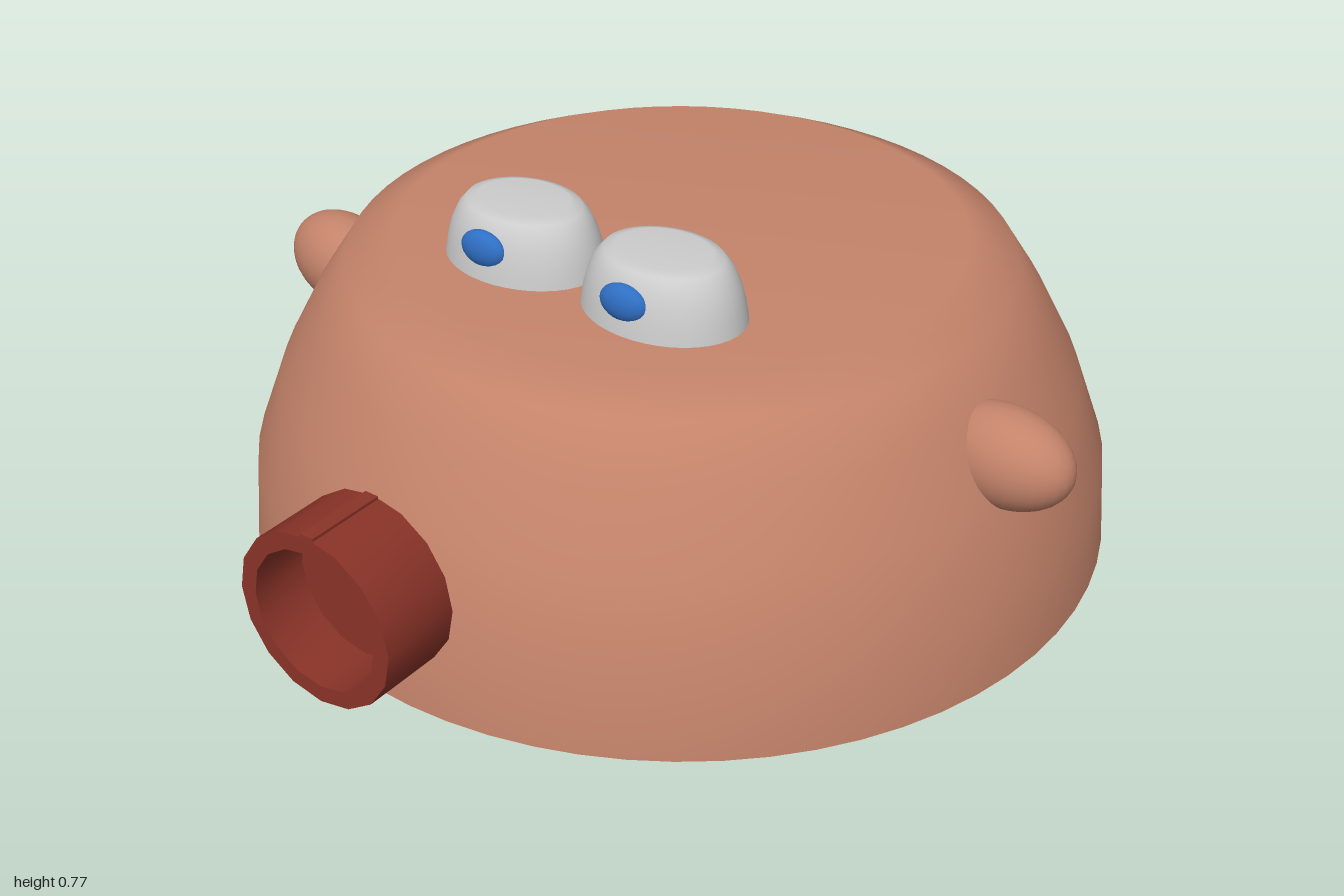
import * as THREE from 'three';
import { toCreasedNormals } from 'three/addons/utils/BufferGeometryUtils.js';

const paint = (color) => new THREE.MeshStandardMaterial({ color });
const points = (list) => list.map(([x, y]) => new THREE.Vector2(x, y));

export function createModel() {
  const model = new THREE.Group();
  const skin = paint(0xc4836a);
  const white = paint(0xcccccc);
  const blue = paint(0x2f6fc4);
  const red = paint(0x8a3328);

  const add = (name, geometry, material, position, parent = model) => {
    const mesh = new THREE.Mesh(geometry, material);
    mesh.name = name;
    mesh.position.set(...position);
    parent.add(mesh);
    return mesh;
  };

  // Domed body with a flat top, and its flat underside
  const dome = points([
    [0.905, 0], [0.89, 0.18], [0.828, 0.35], [0.755, 0.49],
    [0.685, 0.598], [0.585, 0.645], [0, 0.645],
  ]);
  add('body', new THREE.LatheGeometry(dome, 64), skin, [-0.013, 0, -0.093]);
  const base = new THREE.CircleGeometry(0.905, 64).rotateX(Math.PI / 2);
  add('underside', base, skin, [-0.013, 0, -0.093]);

  // Rounded ears, partly sunk into the body
  for (const [name, x, y, z, yaw] of [
    ['rightEar', -0.787, 0.408, 0.08, -0.25],
    ['leftEar', 0.78, 0.42, -0.012, -0.08],
  ]) {
    const ear = add(name, new THREE.SphereGeometry(1, 32, 20), skin, [x, y, z]);
    ear.scale.set(0.15, 0.102, 0.092);
    ear.rotation.y = yaw;
  }

  // Flat-topped oval eyes, each with a pupil
  const eyeProfile = points([
    [0.174, 0], [0.168, 0.035], [0.158, 0.07], [0.143, 0.1],
    [0.125, 0.12], [0.1, 0.127], [0, 0.127],
  ]);
  for (const [side, x, z, tilt] of [['right', -0.188, 0.195, 0.04], ['left', 0.16, 0.217, 0.06]]) {
    const eye = new THREE.Group();
    eye.name = side + 'Eye';
    eye.position.set(x, 0.645, z);
    model.add(eye);
    const ball = add(side + 'Eyeball', new THREE.LatheGeometry(eyeProfile, 40), white, [0, 0, 0], eye);
    ball.scale.z = 0.78;
    ball.rotation.y = -tilt;
    const pupil = add(side + 'Pupil', new THREE.SphereGeometry(1, 24, 16), blue, [-0.01, 0.062, 0.117], eye);
    pupil.scale.set(0.053, 0.038, 0.024);
  }

  // Hollow cup-shaped snout, facing forward
  const snout = new THREE.Group();
  snout.name = 'snout';
  snout.position.set(-0.057, 0.29, 0.825);
  snout.rotation.y = -0.03;
  model.add(snout);
  const cup = new THREE.LatheGeometry(points([
    [0, 0], [0.18, 0], [0.18, 0.17], [0.145, 0.17], [0.145, 0.05], [0, 0.05],
  ]), 16);
  cup.rotateX(Math.PI / 2);
  add('snoutCup', toCreasedNormals(cup, 0.6), red, [0, 0, 0], snout);
  add('snoutSeam', new THREE.BoxGeometry(0.03, 0.02, 0.168), red, [0, 0.173, 0.085], snout);

  return model;
}
